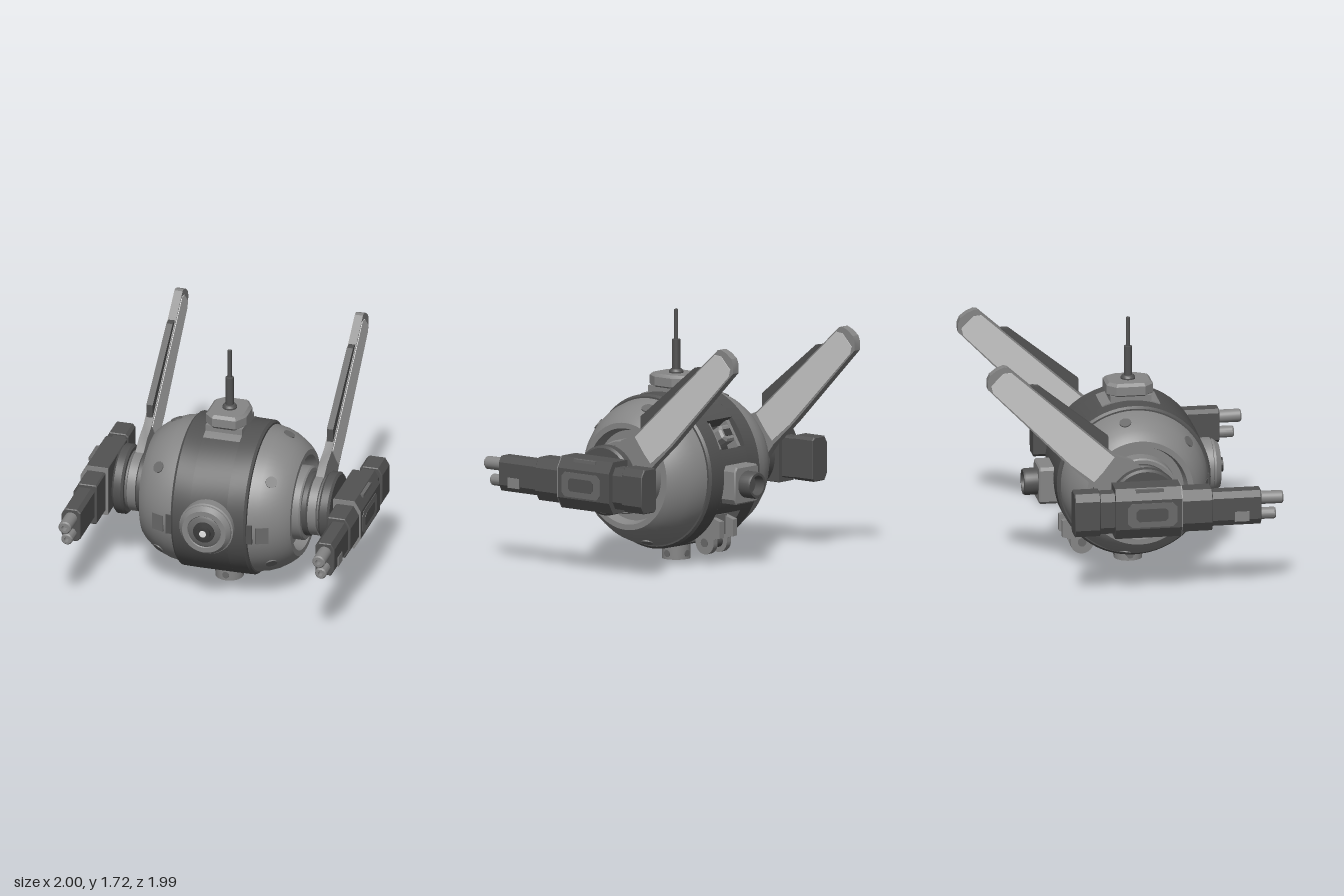
import * as THREE from 'three';
import { toCreasedNormals } from 'three/addons/utils/BufferGeometryUtils.js';

const mat = (name, color, side = THREE.FrontSide) => Object.assign(new THREE.MeshStandardMaterial({ color, side }), { name });
const CY = 0.625, CZ = 0.08; // body axis

// Polygon extruded along z from z0 to z1
function prism(pts, z0, z1, bevel = 0) {
  const shape = pts instanceof THREE.Shape ? pts : new THREE.Shape(pts.map(p => new THREE.Vector2(...p)));
  const g = new THREE.ExtrudeGeometry(shape, {
    depth: z1 - z0 - 2 * bevel, curveSegments: 24, bevelEnabled: bevel > 0,
    bevelSize: bevel, bevelThickness: bevel, bevelOffset: -bevel, bevelSegments: 1
  });
  return toCreasedNormals(g.translate(0, 0, z0 + bevel), 0.5);
}
// Polygon drawn as (backward, up), extruded along x
const sidePrism = (pts, x0, x1) => prism(pts, x0, x1).rotateY(Math.PI / 2);
// Lathe of [radius, distance] points about the y axis
const lathe = (pts, seg = 64) =>
  toCreasedNormals(new THREE.LatheGeometry(pts.map(p => new THREE.Vector2(...p)), seg), 0.5);
const latheX = pts => lathe(pts).rotateZ(-Math.PI / 2).translate(0, CY, CZ);
const discX = (r, x0, x1, b = 0.01) => latheX([[0, x0], [r - b, x0], [r, x0 + b], [r, x1 - b], [r - b, x1], [0, x1]]);
const box = (x0, x1, y0, y1, z0, z1) =>
  new THREE.BoxGeometry(x1 - x0, y1 - y0, z1 - z0).translate((x0 + x1) / 2, (y0 + y1) / 2, (z0 + z1) / 2);
// Rectangle with chamfered corners: ci on the inner side, co on the outer side
const chamfer = (x0, x1, y0, y1, ci, co) => [
  [x0 + ci, y0], [x1 - co, y0], [x1, y0 + co * 1.7], [x1, y1 - co * 1.7],
  [x1 - co, y1], [x0 + ci, y1], [x0, y1 - ci], [x0, y0 + ci]];
// Ring sector of the body in (backward, up), angles in degrees
function sector(r0, r1, a0, a1) {
  const s = new THREE.Shape(), A = a0 * Math.PI / 180, B = a1 * Math.PI / 180;
  s.absarc(-CZ, CY, r1, A, B, false);
  s.absarc(-CZ, CY, r0, B, A, true);
  return s;
}
// Mirrored copy of a group across x = 0
function mirror(group, name) {
  const out = new THREE.Group();
  out.name = name;
  for (const m of group.children) {
    const g = m.geometry.clone().applyMatrix4(new THREE.Matrix4().makeScale(-1, 1, 1));
    const n = g.index ? g.index.count : g.attributes.position.count, idx = [];
    for (let i = 0; i < n; i += 3) for (const k of [i, i + 2, i + 1]) idx.push(g.index ? g.index.getX(k) : k);
    g.setIndex(idx);
    const copy = new THREE.Mesh(g, m.material);
    copy.name = m.name;
    out.add(copy);
  }
  return out;
}

export function createModel() {
  const dark = mat('dark metal', 0x525252), light = mat('grey metal', 0x868686);
  const pale = mat('pale panel', 0xc8c8c8), mid = mat('mid grey', 0x6a6a6a);
  const black = mat('deep grey', 0x3c3c3c), white = mat('lens white', 0xf0f0f0);
  const lightOpen = mat('grey open shell', 0x868686, THREE.DoubleSide);

  const model = new THREE.Group();
  model.name = 'droid';
  const body = new THREE.Group(), left = new THREE.Group();
  body.name = 'body';
  left.name = 'leftSide';
  const add = (group, name, geo, material) => {
    const m = new THREE.Mesh(geo, material);
    m.name = name;
    group.add(m);
  };

  // Central band with two rear openings, over a dark core
  add(body, 'bandFront', sidePrism(sector(0.44, 0.532, 44, 295), -0.13, 0.13), dark);
  add(body, 'bandRear', sidePrism(sector(0.44, 0.532, -30, 20), -0.13, 0.13), dark);
  add(body, 'core', discX(0.42, -0.26, 0.26), black);

  // Antenna and its mount
  add(body, 'topPlate', sidePrism(sector(0.5, 0.54, 68, 112), -0.13, 0.13), light);
  add(body, 'antennaBase', box(-0.13, 0.13, 1.1, 1.19, CZ - 0.14, CZ + 0.14), light);
  const cap = chamfer(-0.14, 0.14, -0.16, 0.16, 0.06, 0.05);
  add(body, 'antennaCap', prism(cap, 1.175, 1.275, 0.02).rotateX(-Math.PI / 2).translate(0, 0, CZ * 2 - CZ), light);
  add(body, 'antenna', lathe([[0.05, 1.27], [0.05, 1.285], [0.04, 1.3], [0.028, 1.302], [0.028, 1.505],
    [0.014, 1.507], [0.014, 1.71], [0, 1.717]], 20).translate(0, 0, CZ), dark);

  // Front eye
  const eye = (name, pts, material) => add(body, name, lathe(pts, 48).rotateX(Math.PI / 2).translate(0, CY, 0), material);
  eye('eyeHousing', [[0.19, 0.5], [0.19, 0.645], [0.18, 0.65], [0.18, 0.665], [0.155, 0.7], [0.12, 0.7], [0.11, 0.685], [0, 0.685]], light);
  eye('eyeRing', [[0.115, 0.67], [0.115, 0.692], [0.1, 0.7], [0, 0.7]], mid);
  eye('eyeBarrel', [[0.075, 0.69], [0.075, 0.708], [0.05, 0.712], [0.05, 0.73], [0.035, 0.732], [0, 0.726]], black);
  eye('eyeLens', [[0.026, 0.72], [0.024, 0.734], [0, 0.735]], white);

  // Rear thruster
  add(body, 'thrusterBlock', prism(chamfer(-0.125, 0.125, 0.44, 0.7, 0.02, 0.02), -0.55, -0.38, 0.01), light);
  add(body, 'thrusterNozzle', lathe([[0.092, 0.52], [0.092, 0.63], [0.085, 0.645], [0.068, 0.645], [0.065, 0.57], [0, 0.57]], 32)
    .rotateX(-Math.PI / 2).translate(0, 0.572, 0), dark);

  // Bottom nozzle
  add(body, 'bottomNozzle', lathe([[0, 0.07], [0.075, 0.07], [0.08, 0], [0.097, 0], [0.097, 0.16]], 32).translate(0, 0, CZ), lightOpen);
  for (const a of [0, 90, 180, 270]) add(body, 'nozzleSpot', new THREE.CylinderGeometry(0.024, 0.024, 0.008, 20)
    .rotateZ(-Math.PI / 2).translate(0.095, 0.04, 0).rotateY(a * Math.PI / 180).translate(0, 0, CZ), mid);

  // Device in the upper rear opening
  const tilt = 32 * Math.PI / 180;
  const inOpening = g => g.rotateX(-tilt).rotateY(Math.PI).translate(0, CY, CZ);
  add(body, 'rearSensor', inOpening(prism(chamfer(-0.065, 0.065, -0.06, 0.06, 0.03, 0.02), 0.4, 0.54, 0.015)), light);
  add(body, 'rearSensorLens', inOpening(box(-0.035, 0.035, -0.025, 0.025, 0.535, 0.544)), black);
  for (const s of [-1, 1]) add(body, 'rearRail', inOpening(box(s * 0.1 - 0.015, s * 0.1 + 0.015, -0.1, 0.1, 0.4, 0.5)), light);

  // Fold-out clamp in the lower rear opening
  const clamp = new THREE.Shape();
  clamp.absarc(0.25, 0.148, 0.08, Math.PI, Math.PI * 2, false);
  for (const p of [[0.33, 0.175], [0.385, 0.19], [0.385, 0.305], [0.3, 0.33], [0.17, 0.33]]) clamp.lineTo(...p);
  for (const s of [-1, 1]) {
    add(body, 'clampPlate', sidePrism(clamp, s * 0.07 - 0.022, s * 0.07 + 0.022), light);
    add(body, 'clampSpot', new THREE.CylinderGeometry(0.03, 0.03, 0.008, 20)
      .rotateZ(Math.PI / 2).translate(s * 0.093, 0.148, -0.25), mid);
  }
  add(body, 'clampAxle', new THREE.CylinderGeometry(0.045, 0.045, 0.1, 24).rotateZ(Math.PI / 2).translate(0, 0.148, -0.25), dark);
  add(body, 'clampBridge', box(-0.06, 0.06, 0.2, 0.34, -0.32, -0.2), mid);

  // Band edge and side dome with a recess for the shoulder
  add(left, 'bandEdge', latheX([[0.44, 0.13], [0.532, 0.13], [0.53, 0.25], [0.515, 0.265], [0.44, 0.265], [0.44, 0.13]]), dark);
  add(left, 'dome', latheX([[0.4, 0.262], [0.505, 0.27], [0.492, 0.34], [0.465, 0.41], [0.428, 0.47], [0.396, 0.51],
    [0.368, 0.535], [0.33, 0.535], [0.31, 0.46], [0, 0.46]]), light);

  // Dark ovals around the dome
  for (const a of [41, -41, 100, -100]) add(left, 'domeSpot', new THREE.CylinderGeometry(0.04, 0.04, 0.009, 24)
    .rotateZ(-0.42).translate(0.4, 0.47, 0).rotateX((90 - a) * Math.PI / 180).translate(0, CY, CZ), mid);
  // Vents beside the band
  add(left, 'vent', new THREE.BoxGeometry(0.09, 0.12, 0.03).rotateY(0.36).translate(0.365, 0.58, CZ + 0.468), mid);
  add(left, 'ventSlot', box(0.265, 0.305, 0.52, 0.66, 0.54, 0.592), dark);

  // Shoulder stack
  add(left, 'shoulderCollar', discX(0.255, 0.45, 0.57), light);
  add(left, 'shoulderNeck', discX(0.22, 0.56, 0.61), dark);
  add(left, 'shoulderSpacer', discX(0.205, 0.665, 0.695), mid);
  add(left, 'shoulderDisc', discX(0.24, 0.69, 0.77, 0.015), dark);
  add(left, 'armAxle', discX(0.11, 0.76, 0.82), dark);

  // Wing: hub disc, blade, pale panels and leading strut
  const wing = new THREE.Shape();
  wing.absarc(-CZ, CY, 0.21, Math.PI / 2, Math.PI * 11 / 6, false);
  for (const p of [[0.27, 0.74], [0.45, 0.905], [0.99, 1.46], [0.992, 1.52], [0.975, 1.56], [0.93, 1.595], [0.88, 1.615],
    [0.855, 1.61], [0.12, 0.95], [0, 0.9]]) wing.lineTo(...p);
  add(left, 'wing', sidePrism(wing, 0.61, 0.668), light);
  const panel = [[0.12, 0.935], [0.83, 1.575], [0.885, 1.57], [0.968, 1.485], [0.955, 1.435], [0.42, 0.895], [0.26, 0.765], [0.2, 0.83]];
  add(left, 'wingOuterPanel', sidePrism(panel, 0.666, 0.673), pale);
  add(left, 'wingInnerPanel', sidePrism(panel, 0.605, 0.612), pale);
  add(left, 'wingStrut', sidePrism([[0.16, 0.98], [0.7, 1.465], [0.68, 1.47], [0.64, 1.465], [0.16, 1.08]], 0.617, 0.661), dark);

  // Arm segments: [x0, x1, y0, y1, z0, z1, inner chamfer, outer chamfer]
  const segments = [
    ['armTail', 0.82, 0.98, 0.47, 0.775, -0.44, -0.262, 0.02, 0.03],
    ['armRear', 0.828, 0.955, 0.475, 0.76, -0.28, -0.12, 0.01, 0.03],
    ['armMiddle', 0.815, 0.982, 0.47, 0.765, 0.28, 0.51, 0.01, 0.04],
    ['armFront', 0.832, 0.966, 0.5, 0.74, 0.5, 0.845, 0.025, 0.025]];
  for (const [name, x0, x1, y0, y1, z0, z1, ci, co] of segments)
    add(left, name, prism(chamfer(x0, x1, y0, y1, ci, co), z0, z1, 0.006), dark);
  const main = chamfer(0.797, 0.993, 0.442, 0.798, 0.004, 0.045);
  add(left, 'armMain', prism(main, -0.16, 0.293), dark);
  add(left, 'armMainFace', prism(main, 0.293, 0.3), light);
  add(left, 'armTopRib', box(0.86, 0.975, 0.77, 0.792, -0.02, 0.17), mid);
  add(left, 'armSlot', box(0.964, 0.97, 0.53, 0.6, 0.66, 0.76), light);

  // Badge plate on the outside of the arm
  add(left, 'armPlate', sidePrism([[-0.23, 0.53], [0.05, 0.53], [0.08, 0.56], [0.08, 0.67], [0.05, 0.7], [-0.23, 0.7],
    [-0.26, 0.67], [-0.26, 0.56]], 0.988, 0.996), mid);
  add(left, 'armPlateInset', sidePrism([[-0.18, 0.57], [0, 0.57], [0.02, 0.59], [0.02, 0.64], [0, 0.66], [-0.18, 0.66],
    [-0.2, 0.64], [-0.2, 0.59]], 0.993, 0.999), dark);

  // Twin barrels with hollow muzzles
  for (const [y, r, end] of [[0.672, 0.045, 1], [0.56, 0.04, 0.95]])
    add(left, 'barrel', lathe([[r, 0.8], [r, end - 0.01], [r - 0.008, end], [r * 0.45, end], [r * 0.4, end - 0.04], [0, end - 0.04]], 24)
      .rotateX(Math.PI / 2).translate(0.899, y, 0), light);

  model.add(body, left, mirror(left, 'rightSide'));
  return model;
}
